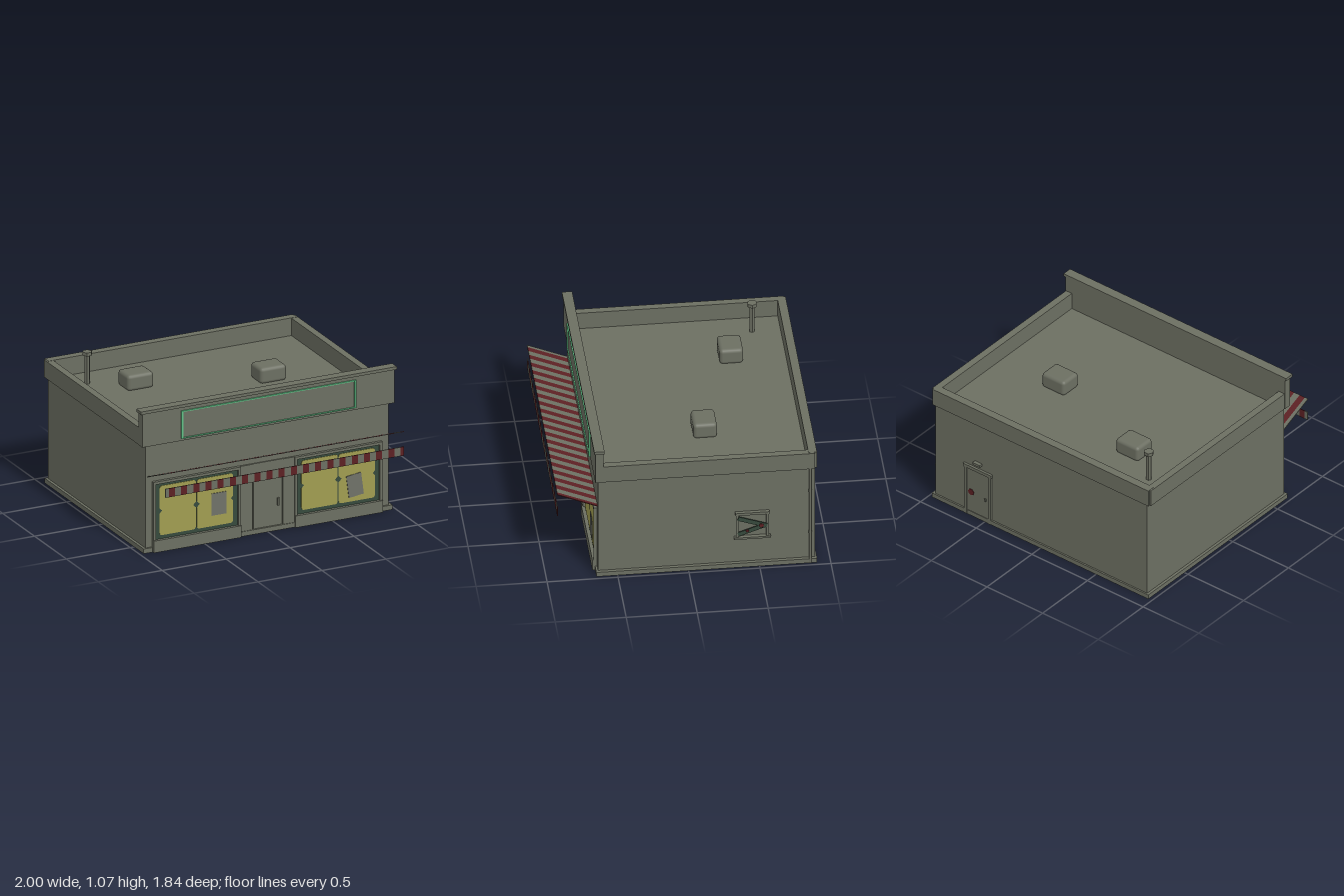
import * as THREE from 'three';
import { RoundedBoxGeometry } from 'three/addons/geometries/RoundedBoxGeometry.js';

function material(name, color) {
  const m = new THREE.MeshStandardMaterial({ color });
  m.name = name;
  return m;
}

export function createModel() {
  const grey = material('weathered grey', 0x6c6f62);
  const poster = material('poster grey', 0x6f7168);
  const yellow = material('window yellow', 0xa09d51);
  const green = material('dark green', 0x36493c);
  const neon = material('sign green', 0x5fbf85);
  const red = material('faded red', 0x5c2023);
  const root = new THREE.Group();
  root.name = 'shop';

  function add(parent, name, geometry, mat, x = 0, y = 0, z = 0) {
    const mesh = new THREE.Mesh(geometry, mat);
    mesh.name = name;
    mesh.position.set(x, y, z);
    parent.add(mesh);
    return mesh;
  }
  // Box given by its limits along each axis
  function box(parent, name, mat, [x0, x1], [y0, y1], [z0, z1]) {
    return add(parent, name, new THREE.BoxGeometry(x1 - x0, y1 - y0, z1 - z0), mat,
      (x0 + x1) / 2, (y0 + y1) / 2, (z0 + z1) / 2);
  }
  function group(name, x = 0, y = 0, z = 0) {
    const g = new THREE.Group();
    g.name = name;
    g.position.set(x, y, z);
    root.add(g);
    return g;
  }

  // Walls, skirting and roof parapet
  box(root, 'walls', grey, [-0.95, 0.95], [0, 0.8], [-0.893, 0.636]);
  box(root, 'skirting', grey, [-0.97, 0.975], [0, 0.035], [-0.905, 0.65]);
  for (const s of [-1, 1]) {
    box(root, 'sideParapet', grey, [Math.min(s * 0.93, s * 0.982), Math.max(s * 0.93, s * 0.982)],
      [0.8, 0.93], [-0.89, 0.6]);
  }
  box(root, 'backParapet', grey, [-0.97, 0.97], [0.8, 0.932], [-0.905, -0.845]);
  box(root, 'frontFascia', grey, [-0.985, 0.985], [0.8, 1.05], [0.6, 0.658]);
  box(root, 'fasciaCap', grey, [-1, 1], [1.05, 1.072], [0.595, 0.667]);

  // Blank sign with a glowing border
  const sign = group('sign');
  box(sign, 'signBoard', grey, [-0.67, 0.67], [0.825, 1.018], [0.658, 0.662]);
  for (const s of [-1, 1]) {
    box(sign, 'signSide', neon, [s * 0.677 - 0.006, s * 0.677 + 0.006], [0.818, 1.025], [0.658, 0.67]);
    const y = 0.9215 + s * 0.1;
    box(sign, 'signEdge', neon, [-0.683, 0.683], [y - 0.004, y + 0.004], [0.658, 0.67]);
  }

  // Pane outline with rounded corners
  function paneGeometry(w, h, r) {
    const s = new THREE.Shape();
    s.absarc(w / 2 - r, h / 2 - r, r, 0, Math.PI / 2);
    s.absarc(-w / 2 + r, h / 2 - r, r, Math.PI / 2, Math.PI);
    s.absarc(-w / 2 + r, -h / 2 + r, r, Math.PI, Math.PI * 1.5);
    s.absarc(w / 2 - r, -h / 2 + r, r, Math.PI * 1.5, Math.PI * 2);
    return new THREE.ExtrudeGeometry(s, { depth: 0.004, bevelEnabled: false, curveSegments: 4 });
  }
  const pane = paneGeometry(0.283, 0.37, 0.02);

  // Shop windows, each with a base, surround, two panes and a poster
  function shopWindow(x, posterX, posterY, tilt) {
    const w = group('shopWindow', x);
    box(w, 'windowBase', grey, [-0.342, 0.342], [0, 0.088], [0.63, 0.669]);
    for (const s of [-1, 1]) {
      box(w, 'surroundSide', grey, [s * 0.332 - 0.01, s * 0.332 + 0.01], [0.088, 0.525], [0.63, 0.66]);
    }
    box(w, 'surroundTop', grey, [-0.342, 0.342], [0.505, 0.525], [0.63, 0.66]);
    box(w, 'windowFrame', green, [-0.322, 0.322], [0.088, 0.505], [0.63, 0.645]);
    for (const s of [-1, 1]) add(w, 'pane', pane, yellow, s * 0.1455, 0.3, 0.645);
    for (const dx of [-0.287, 0, 0.287]) {
      const r = dx ? 0.018 : 0.026;
      add(w, 'paneNotch', new THREE.CircleGeometry(r, 4), green, dx, 0.3, 0.651);
    }
    const p = add(w, 'poster', new THREE.BoxGeometry(0.117, 0.165, 0.004), poster, posterX - x, posterY, 0.653);
    p.rotation.z = tilt;
  }
  shopWindow(-0.558, -0.383, 0.278, 0);
  shopWindow(0.551, 0.68, 0.235, 0.13);

  // Front door
  const door = group('frontDoor');
  box(door, 'doorStep', grey, [-0.217, 0.21], [0, 0.035], [0.63, 0.655]);
  for (const s of [-1, 1]) {
    box(door, 'doorPost', grey, [s * 0.165 - 0.045, s * 0.165 + 0.045], [0.035, 0.525], [0.63, 0.65]);
  }
  box(door, 'transom', grey, [-0.12, 0.12], [0.44, 0.525], [0.63, 0.645]);
  box(door, 'doorLeaf', grey, [-0.108, 0.105], [0.036, 0.437], [0.63, 0.642]);
  box(door, 'doorHandle', grey, [0.075, 0.09], [0.185, 0.24], [0.64, 0.656]);

  // Awning bent upwards, with a loose hanging valance, both striped
  const awning = group('awning', 0, 0.625, 0.779);
  const valance = group('valance', 0, 0.538, 0.918);
  const slope = Math.atan2(0.118, 0.282);
  awning.rotation.x = -slope;
  function stripe(mat, x0, x1) {
    box(awning, 'awningStripe', mat, [x0, x1], [-0.003, 0.003], [-0.153, 0.153]);
    box(valance, 'valanceStripe', mat, [x0, x1], [-0.033, 0.033], [-0.003, 0.003]);
  }
  stripe(grey, -0.935, -0.908);
  for (let i = 0; i < 20; i++) {
    const x = -0.908 + i * 0.0953;
    stripe(red, x, Math.min(x + 0.047, 0.93));
    if (i < 19) stripe(grey, x + 0.047, x + 0.0953);
  }

  // Boarded side window
  const side = group('sideWindow', 0.95, 0.345, -0.45);
  for (const s of [-1, 1]) {
    box(side, 'frameSide', grey, [0, 0.022], [-0.095, 0.095], [s * 0.106 - 0.009, s * 0.106 + 0.009]);
  }
  box(side, 'lintel', grey, [0, 0.026], [0.092, 0.112], [-0.12, 0.12]);
  box(side, 'sill', grey, [0, 0.03], [-0.107, -0.092], [-0.129, 0.129]);
  for (const s of [-1, 1]) {
    const board = add(side, 'board', new THREE.BoxGeometry(0.008, 0.032, 0.215), green,
      s > 0 ? 0.026 : 0.018, s * 0.034, 0);
    board.rotation.x = -s * 0.34;
  }
  // Red splashes on the boards
  for (const [y, z, r] of [[0.003, -0.062, 0.018], [-0.035, 0.037, 0.012]]) {
    const spot = add(side, 'splash', new THREE.CylinderGeometry(r, r, 0.005, 6), red, 0.031, y, z);
    spot.rotation.z = Math.PI / 2;
  }

  // Drainpipe near the back corner
  add(root, 'drainpipe', new THREE.CylinderGeometry(0.009, 0.009, 0.9, 8), grey, 0.971, 0.45, -0.857);
  for (const y of [0.25, 0.6]) box(root, 'pipeBracket', grey, [0.945, 0.975], [y, y + 0.015], [-0.868, -0.846]);

  // Back door with lamp
  const back = group('backDoor', 0.565, 0, -0.893);
  for (const s of [-1, 1]) {
    box(back, 'doorJamb', grey, [s * 0.107 - 0.012, s * 0.107 + 0.012], [0, 0.41], [-0.015, 0.005]);
  }
  box(back, 'doorHeader', grey, [-0.127, 0.127], [0.4, 0.425], [-0.018, 0.005]);
  box(back, 'doorLeaf', grey, [-0.095, 0.095], [0.02, 0.4], [-0.008, 0.005]);
  box(back, 'doorKnob', grey, [-0.078, -0.062], [0.18, 0.2], [-0.018, 0]);
  box(back, 'lamp', grey, [-0.032, 0.032], [0.46, 0.478], [-0.028, 0.005]);
  const mark = add(back, 'splash', new THREE.CylinderGeometry(0.026, 0.026, 0.004, 7), red, 0.06, 0.2, -0.01);
  mark.rotation.x = Math.PI / 2;

  // Roof vents and chimney pipe
  const vent = new RoundedBoxGeometry(0.205, 0.12, 0.168, 2, 0.026);
  add(root, 'roofVent', vent, grey, 0.415, 0.853, -0.17);
  add(root, 'roofVent', vent, grey, -0.48, 0.853, -0.457);
  const hex = (r, h) => new THREE.CylinderGeometry(r, r, h, 6).rotateY(Math.PI / 6).toNonIndexed();
  for (const [name, r, h, y] of [['chimneyPipe', 0.02, 0.24, 0.9], ['chimneyCap', 0.036, 0.026, 1.026]]) {
    const g = hex(r, h);
    g.computeVertexNormals();
    add(root, name, g, grey, -0.766, y, -0.645);
  }
  return root;
}
